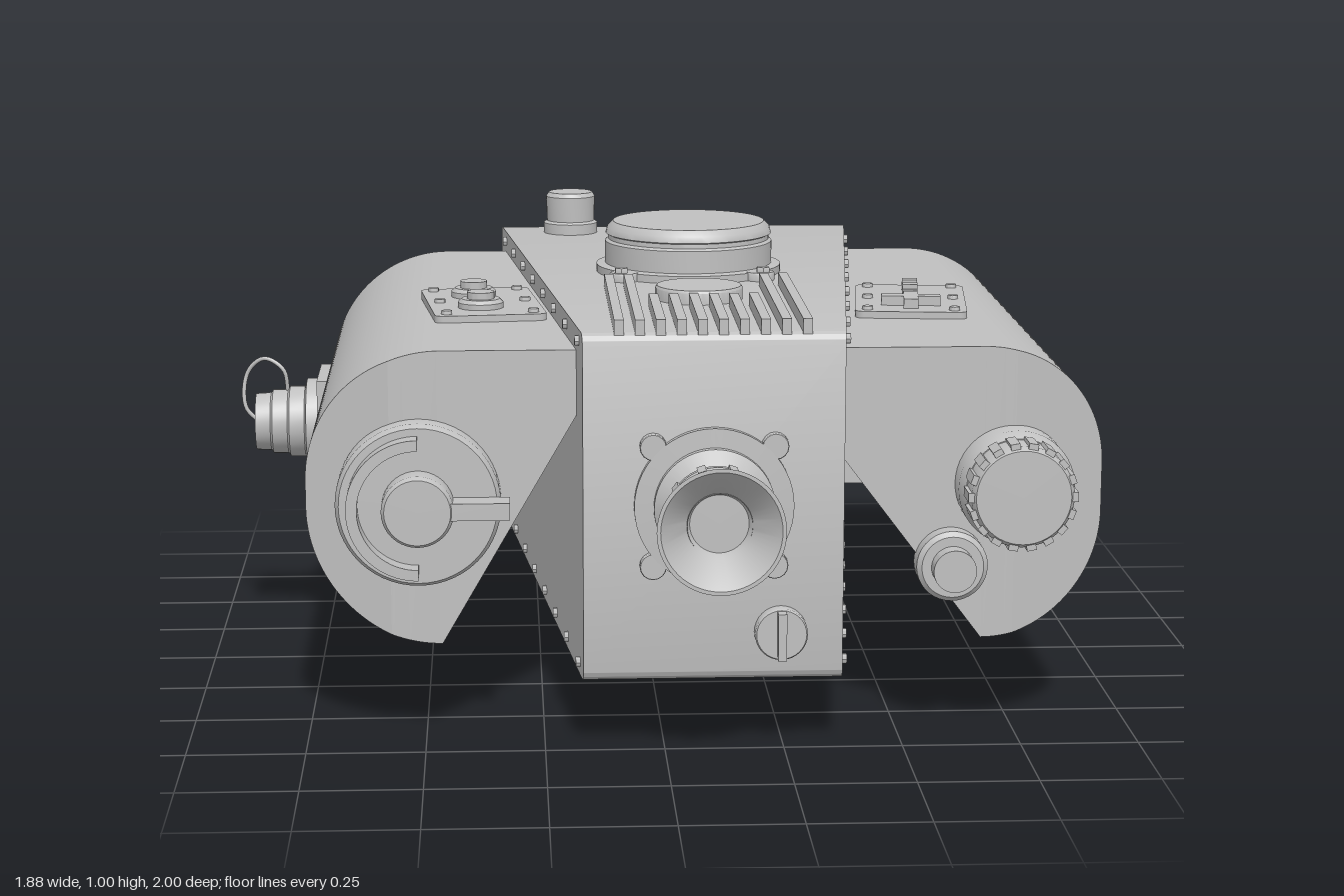
import * as THREE from 'three';
import { toCreasedNormals } from 'three/addons/utils/BufferGeometryUtils.js';

const grey = new THREE.MeshStandardMaterial({ color: 0xc0c0c0 });
grey.name = 'metal grey';

export function createModel() {
  const model = new THREE.Group();

  const add = (name, geo, x = 0, y = 0, z = 0, parent = model) => {
    const mesh = new THREE.Mesh(geo, grey);
    mesh.name = name;
    mesh.position.set(x, y, z);
    parent.add(mesh);
    return mesh;
  };
  const box = (name, w, h, d, x, y, z, parent) => add(name, new THREE.BoxGeometry(w, h, d), x, y, z, parent);

  // Turned part: [radius, height] points from base to tip, pointing along the given axis
  const turned = (name, pts, axis, x, y, z, sides = 48, parent = model) => {
    const geo = new THREE.LatheGeometry(pts.map((p) => new THREE.Vector2(p[0], p[1])), sides);
    if (axis === 'front') geo.rotateX(Math.PI / 2);
    if (axis === 'back') geo.rotateX(-Math.PI / 2);
    if (axis === 'right') geo.rotateZ(Math.PI / 2);
    if (axis === 'left') geo.rotateZ(-Math.PI / 2);
    if (axis === 'down') geo.rotateX(Math.PI);
    return add(name, toCreasedNormals(geo, 0.6), x, y, z, parent);
  };
  const disc = (name, r, h, axis, x, y, z, sides, parent) =>
    turned(name, [[r, 0], [r, h * 0.85], [r - h * 0.1, h], [0, h]], axis, x, y, z, sides, parent);

  const extrude = (shape, depth) => new THREE.ExtrudeGeometry(shape, { depth, bevelEnabled: false, curveSegments: 20 });
  const polygon = (pts) => new THREE.Shape(pts.map((p) => new THREE.Vector2(p[0], p[1])));
  const roundedRect = (x0, y0, x1, y1, r) => {
    const s = new THREE.Shape();
    s.absarc(x1 - r, y0 + r, r, -Math.PI / 2, 0);
    s.absarc(x1 - r, y1 - r, r, 0, Math.PI / 2);
    s.absarc(x0 + r, y1 - r, r, Math.PI / 2, Math.PI);
    s.absarc(x0 + r, y0 + r, r, Math.PI, Math.PI * 1.5);
    s.closePath();
    return s;
  };

  // Central body: rounded side profile, narrowing toward the front
  const leftEdge = (z) => 0.53 - 0.16 * (z + 0.81) / 1.57;
  const rightEdge = (z) => -0.33 + 0.16 * (z + 0.81) / 1.57;
  const bodyGeo = extrude(roundedRect(-0.76, 0.15, 0.81, 0.885, 0.025), 1).rotateY(Math.PI / 2);
  const bp = bodyGeo.attributes.position;
  for (let i = 0; i < bp.count; i++) {
    const z = bp.getZ(i);
    bp.setX(i, THREE.MathUtils.lerp(rightEdge(z), leftEdge(z), bp.getX(i)));
  }
  add('centralBody', toCreasedNormals(bodyGeo, 0.5));

  // Side housings: flat inner half and rounded outer half whose front slopes back
  const housing = (name, side, inner, split, outer, r) => {
    const half = Math.PI / 2;
    const y0 = 0.21, y1 = 0.835, zBack = -0.72, zFront = 0.66, slope = 0.055;
    const a0 = Math.asin(Math.max(0, split - (outer - r)) / r);
    const core = new THREE.Shape();
    core.moveTo(inner, y0);
    core.absarc(outer - r, y0 + r, r, -half, -half + a0);
    core.absarc(outer - r, y1 - r, r, half - a0, half);
    core.lineTo(inner, y1);
    const rim = new THREE.Shape();
    rim.absarc(outer - r, y0 + r, r, -half + a0, 0);
    rim.absarc(outer - r, y1 - r, r, 0, half - a0);
    rim.closePath();
    for (const shape of [core, rim]) {
      const flipped = new THREE.Shape(shape.getPoints(24).map((p) => new THREE.Vector2(p.x * side, p.y)));
      const geo = extrude(flipped, zFront - zBack).translate(0, 0, zBack);
      const pos = geo.attributes.position;
      const x0 = outer - r + r * Math.sin(a0);
      for (let i = 0; i < pos.count; i++) {
        const t = Math.max(0, (pos.getX(i) * side - x0) / (outer - x0));
        if (pos.getZ(i) > 0) pos.setZ(i, zFront - slope * t);
      }
      geo.computeVertexNormals();
      add(name, toCreasedNormals(geo, 0.4));
    }
  };
  housing('rightHousing', -1, 0.1, 0.57, 0.748, 0.285);
  housing('leftHousing', 1, 0.2, 0.74, 0.933, 0.26);

  // Rear lenses
  const lens = (name, r, len, x, y, z) => turned(name,
    [[r, 0], [r, len], [r * 0.86, len], [r * 0.82, len - 0.035], [0, len - 0.035]], 'back', x, y, z, 64);
  lens('rightRearLens', 0.19, 0.12, -0.54, 0.52, -0.71);
  const hood = polygon([[0.44, 0.24], [0.83, 0.24], [0.91, 0.32], [0.91, 0.68], [0.83, 0.77], [0.44, 0.77]]);
  add('leftRearHood', extrude(hood, 0.16), 0, 0, -0.86);
  lens('leftRearLens', 0.158, 0.08, 0.72, 0.505, -0.85);
  turned('mainLens', [[0.32, 0], [0.32, 0.125], [0.31, 0.13], [0.31, 0.155], [0.32, 0.16], [0.32, 0.185],
    [0.31, 0.2], [0.285, 0.2], [0.275, 0.17], [0.262, 0.17], [0.262, 0.15], [0, 0.15]], 'back', -0.01, 0.47, -0.8, 72);
  for (const s of [-1, 1]) disc('lensScrew', 0.018, 0.02, s < 0 ? 'right' : 'left', -0.01 + s * 0.315, 0.47, -0.88, 12);

  // Rear pin and cover
  turned('rearPin', [[0.055, 0], [0.055, 0.012], [0.02, 0.015], [0.02, 0.09], [0, 0.09]], 'back', 0.38, 0.7, -0.81, 20);
  disc('rearCover', 0.045, 0.012, 'back', 0.36, 0.27, -0.81, 32);

  // Top turret with corner lugs
  turned('topTurret', [[0.21, 0], [0.21, 0.022], [0.19, 0.025], [0.19, 0.075], [0.183, 0.08], [0.183, 0.09],
    [0.189, 0.093], [0.185, 0.107], [0.172, 0.12], [0, 0.12]], 'up', 0.095, 0.88, -0.08, 64);
  // Eyepiece with corner lugs
  turned('frontEyepiece', [[0.165, 0], [0.165, 0.016], [0.125, 0.018], [0.125, 0.035], [0.08, 0.08], [0.102, 0.085],
    [0.102, 0.1], [0.08, 0.105], [0.08, 0.12], [0.098, 0.123], [0.098, 0.138], [0.073, 0.145], [0.066, 0.185], [0.08, 0.195],
    [0.13, 0.24], [0.122, 0.24], [0.066, 0.18], [0.06, 0.165], [0, 0.165]], 'front', 0.1, 0.525, 0.76, 56);
  for (let i = 0; i < 4; i++) {
    const a = Math.PI / 4 + i * Math.PI / 2, c = Math.cos(a), s = Math.sin(a);
    disc('turretLug', 0.033, 0.02, 'up', 0.095 + c * 0.215, 0.884, -0.08 + s * 0.215, 16);
    disc('turretScrew', 0.016, 0.012, 'up', 0.095 + c * 0.225, 0.903, -0.08 + s * 0.225, 6);
    disc('eyepieceLug', 0.028, 0.016, 'front', 0.1 + c * 0.178, 0.525 + s * 0.178, 0.76, 16);
  }
  for (let i = 0; i < 10; i++) {
    const a = i * Math.PI / 5;
    const tooth = box('eyepieceTooth', 0.018, 0.018, 0.055, 0.1 + 0.098 * Math.cos(a), 0.525 + 0.098 * Math.sin(a), 0.872);
    tooth.rotation.z = a;
  }

  // Cooling ribs around a round cap
  for (let i = 0; i < 10; i++) {
    const start = i < 2 || i > 7 ? 0.15 : 0.42;
    box('coolingRib', 0.02, 0.035, 0.75 - start, -0.095 + i * 0.043, 0.895, (0.75 + start) / 2);
  }
  disc('ribCap', 0.095, 0.035, 'up', 0.095, 0.88, 0.32, 40);

  // Top knob with a retaining strap
  turned('topKnob', [[0.066, 0], [0.066, 0.03], [0.058, 0.035], [0.06, 0.095], [0.053, 0.105], [0, 0.105]], 'up', -0.16, 0.88, -0.7, 32);
  const strap = new THREE.CatmullRomCurve3([[-0.17, 0.97, -0.75], [-0.18, 0.965, -0.785], [-0.185, 0.93, -0.795],
    [-0.18, 0.895, -0.78], [-0.17, 0.885, -0.75]].map((p) => new THREE.Vector3(...p)));
  add('knobStrap', new THREE.TubeGeometry(strap, 20, 0.008, 8));

  // Front slotted knob
  disc('frontSlotKnob', 0.055, 0.03, 'front', 0.24, 0.255, 0.76, 32);
  box('frontSlotGrip', 0.018, 0.1, 0.03, 0.24, 0.255, 0.8);

  // Selector dial with lever and curved guard
  disc('selectorDial', 0.172, 0.08, 'front', -0.51, 0.52, 0.64, 56);
  disc('selectorHub', 0.075, 0.065, 'front', -0.51, 0.52, 0.718, 40);
  box('selectorLever', 0.19, 0.036, 0.06, -0.415, 0.52, 0.75);
  const guard = new THREE.Shape();
  guard.absarc(0, 0, 0.148, Math.PI / 2, Math.PI * 1.5);
  guard.absarc(0, 0, 0.125, Math.PI * 1.5, Math.PI / 2, true);
  add('selectorGuard', toCreasedNormals(extrude(guard, 0.05), 0.5), -0.51, 0.52, 0.715);

  // Fluted knob and small side knob
  disc('knobBase', 0.122, 0.13, 'front', 0.735, 0.545, 0.605, 48);
  disc('flutedKnob', 0.107, 0.085, 'front', 0.735, 0.545, 0.725, 48);
  for (let i = 0; i < 18; i++) {
    const a = i * Math.PI / 9;
    const flute = box('knobFlute', 0.014, 0.02, 0.07, 0.735 + 0.107 * Math.cos(a), 0.545 + 0.107 * Math.sin(a), 0.77);
    flute.rotation.z = a;
  }
  turned('smallKnob', [[0.075, 0], [0.075, 0.05], [0.065, 0.06], [0.045, 0.06], [0.045, 0.1], [0, 0.1]], 'front', 0.605, 0.375, 0.65, 36);

  // Side connector with a wire loop
  box('connectorPlate', 0.045, 0.23, 0.22, -0.74, 0.505, -0.25);
  turned('sideConnector', [[0.1, 0], [0.1, 0.05], [0.083, 0.055], [0.083, 0.09], [0.075, 0.095], [0.075, 0.13],
    [0.068, 0.135], [0.066, 0.17], [0, 0.17]], 'right', -0.74, 0.505, -0.25, 36);
  const wire = new THREE.CatmullRomCurve3([[-0.9, 0.5, -0.25], [-0.935, 0.54, -0.25], [-0.93, 0.62, -0.26], [-0.89, 0.655, -0.25],
    [-0.845, 0.63, -0.24], [-0.835, 0.57, -0.25]].map((p) => new THREE.Vector3(...p)));
  add('connectorWire', new THREE.TubeGeometry(wire, 32, 0.005, 8));

  // Control plates on top of both housings
  for (const side of [-1, 1]) {
    const panel = new THREE.Group();
    panel.name = side < 0 ? 'rightControlPanel' : 'leftControlPanel';
    panel.position.set(side < 0 ? -0.375 : 0.58, 0.832, 0.13);
    panel.rotation.y = -side * 0.11;
    model.add(panel);
    const plate = extrude(roundedRect(-0.122, -0.185, 0.122, 0.185, 0.02), 0.018).rotateX(-Math.PI / 2);
    add('panelPlate', plate, 0, 0, 0, panel);
    for (const x of [-0.095, 0.095]) for (const z of [-0.155, 0, 0.155])
      disc('panelScrew', 0.012, 0.008, 'up', x, 0.018, z, 12, panel);
    if (side < 0) {
      for (const z of [-0.075, 0.075]) turned('pushButton', [[0.05, 0], [0.05, 0.012], [0.042, 0.02], [0.03, 0.02],
        [0.03, 0.035], [0, 0.035]], 'up', -0.012, 0.018, z, 28, panel);
    } else {
      box('crossPadWide', 0.13, 0.022, 0.032, 0, 0.028, 0.085, panel);
      box('crossPadLong', 0.032, 0.022, 0.11, 0, 0.028, 0.085, panel);
      box('rockerSwitch', 0.034, 0.016, 0.12, 0, 0.025, -0.08, panel);
      for (const z of [-0.115, -0.05]) box('rockerEnd', 0.034, 0.014, 0.03, 0, 0.036, z, panel);
    }
  }

  // Screws along the flanges of the central body
  for (let i = 0; i < 8; i++) {
    const z = 0.7 - i * 0.2;
    for (const y of [0.862, 0.178]) {
      disc('flangeScrew', 0.011, 0.01, 'left', leftEdge(z) - 0.001, y, z, 10);
      disc('flangeScrew', 0.011, 0.01, 'right', rightEdge(z) + 0.001, y, z, 10);
    }
  }

  // Underside mount: triangular plate on three posts
  const mount = polygon([[-0.15, -0.13], [-0.1, -0.13], [0.2, 0.07], [0.2, 0.13], [-0.1, 0.31], [-0.15, 0.31]]);
  add('mountPlate', extrude(mount, 0.035).rotateX(-Math.PI / 2), 0, 0.035, 0);
  for (const [x, z] of [[-0.095, 0.05], [-0.095, -0.25], [0.145, -0.1]])
    turned('mountPost', [[0.027, 0], [0.027, 0.152], [0, 0.152]], 'down', x, 0.152, z, 20);

  // Underside latches: hollow frame with a bent hook
  const frame = roundedRect(-0.1, -0.1, 0.1, 0.1, 0.01);
  frame.holes.push(new THREE.Path(roundedRect(-0.065, -0.06, 0.065, 0.06, 0.005).getPoints(4)));
  const hook = polygon([[0.08, 0.13], [0.08, 0.09], [0.13, 0.04], [0.2, 0.04], [0.2, 0.07], [0.15, 0.1], [0.23, 0.11], [0.23, 0.14]]);
  for (const z of [0.185, -0.365]) {
    add('latchFrame', extrude(frame, 0.025).rotateX(-Math.PI / 2), 0.16, 0.127, z);
    add('latchHook', extrude(hook, 0.08), 0, 0, z - 0.04);
  }
  return model;
}
